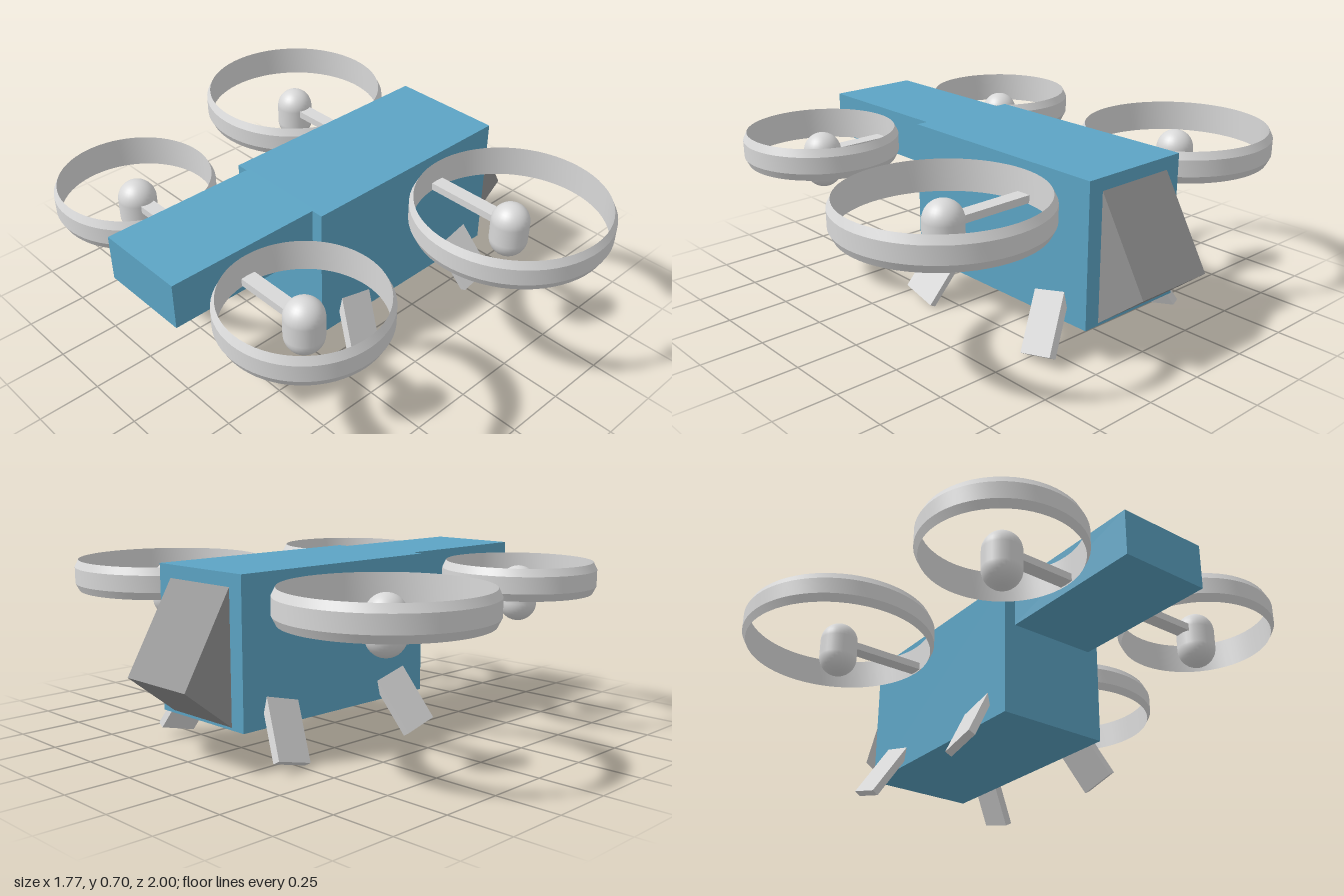
import * as THREE from 'three';
import { toCreasedNormals } from 'three/addons/utils/BufferGeometryUtils.js';

export function createModel() {
  const model = new THREE.Group();
  model.name = 'quadRotorDrone';

  const material = (name, color, side = THREE.FrontSide) => {
    const m = new THREE.MeshStandardMaterial({ color, side });
    m.name = name;
    return m;
  };
  const blue = material('hullBlue', 0x5ca4c4);
  const light = material('lightGrey', 0xd8d8d8);
  const grey = material('noseGrey', 0x929292);

  const add = (parent, name, geometry, mat, x = 0, y = 0, z = 0) => {
    const mesh = new THREE.Mesh(geometry, mat);
    mesh.name = name;
    mesh.position.set(x, y, z);
    parent.add(mesh);
    return mesh;
  };

  // Hull: deep main body with a shallow tail boom
  add(model, 'mainBody', new THREE.BoxGeometry(0.94, 0.56, 0.47), blue, 0.21, 0.418, 0);
  add(model, 'tailBoom', new THREE.BoxGeometry(0.64, 0.182, 0.374), blue, -0.567, 0.607, 0);

  // Wedge nose, a triangular profile extruded across the body
  const wedge = new THREE.Shape([
    new THREE.Vector2(0.67, 0.142),
    new THREE.Vector2(0.68, 0.148),
    new THREE.Vector2(0.88, 0.305),
    new THREE.Vector2(0.68, 0.648),
    new THREE.Vector2(0.67, 0.648),
  ]);
  const noseGeometry = new THREE.ExtrudeGeometry(wedge, { depth: 0.34, bevelEnabled: false });
  add(model, 'nose', noseGeometry, grey, 0, 0, -0.17);

  // Ducted rotors: chamfered ring, capsule motor and flat support arm
  const addRotor = (name, x, z, radius, side) => {
    const rotor = new THREE.Group();
    rotor.name = name;
    const inner = radius - 0.015;
    const profile = [
      [inner, 0.54], [radius, 0.57], [radius, 0.636], [inner, 0.666], [inner, 0.54],
    ].map(([r, y]) => new THREE.Vector2(r, y));
    const ring = toCreasedNormals(new THREE.LatheGeometry(profile, 64), 0.4);
    add(rotor, 'ring', ring, light, x, 0, side * z);
    add(rotor, 'motor', new THREE.CapsuleGeometry(0.075, 0.075, 10, 28), light, x, 0.532, side * z);
    const start = 0.15;
    add(rotor, 'arm', new THREE.BoxGeometry(0.06, 0.03, z - start), light,
      x, 0.56, side * (z + start) / 2);
    model.add(rotor);
  };

  for (const side of [1, -1]) {
    const label = side > 0 ? 'front' : 'back';
    addRotor(label + 'LargeRotor', 0.365, 0.613, 0.387, side);
    addRotor(label + 'SmallRotor', -0.573, 0.485, 0.31, side);

    // Splayed landing legs, mirrored about the middle of the main body
    for (const end of [1, -1]) {
      const geometry = new THREE.BoxGeometry(0.155, 0.35, 0.03).translate(0, 0.175, 0);
      const leg = add(model, label + (end > 0 ? 'NoseLeg' : 'TailLeg'), geometry, light,
        0.21 + end * 0.34, 0.026, side * 0.342);
      leg.rotation.set(-side * Math.PI / 6, 0, end * 0.25, 'ZYX');
    }
  }
  return model;
}
